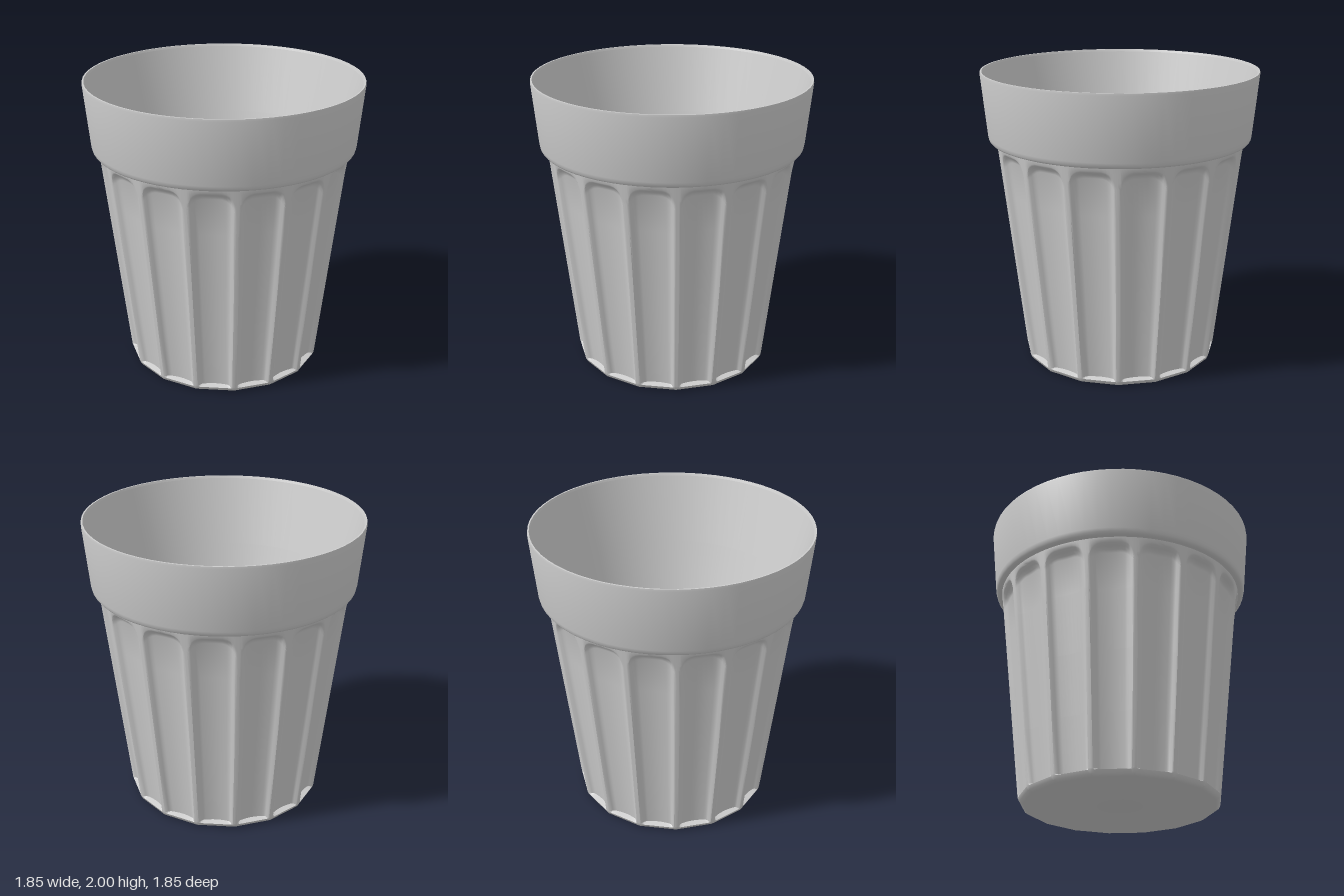
import * as THREE from 'three';
import { toCreasedNormals } from 'three/addons/utils/BufferGeometryUtils.js';

const FLUTES = 16;
const HALF = Math.PI / FLUTES; // half the angle of one flute
const CREASE = 0.6;

const bodyRadius = (y) => 0.665 + (y - 0.03) * 0.115;

// One vertical section of the fluted body, u = -1..1 across a flute: [radius, y] pairs
function section(u) {
  const polygon = Math.cos(HALF) / Math.cos(u * HALF);
  const w = 0.75 * HALF;
  const x = Math.abs(u) * w;
  const h = w - 0.022;
  // rounded rib shoulder plus a shallow hollow across the flute
  const depth = 0.024 * THREE.MathUtils.smoothstep(w - x, 0.012, 0.045)
    + 0.028 * Math.max(0, 1 - (x / h) ** 2);
  // rounded upper corners of the flute
  const c = 0.075;
  const a = THREE.MathUtils.clamp((x - (h - c)) / c, 0, 1);
  const top = 1.5 - c * (1 - Math.sqrt(1 - a * a));
  const hollow = (y, k) => [bodyRadius(y) - depth * k, y];
  return [
    [0, 0], [0.635 * polygon, 0], [0.655 * polygon, 0.012], [0.666 * polygon, 0.035],
    hollow(0.045, 1), hollow(0.4, 1), hollow(0.8, 1), hollow(1.2, 1),
    hollow(top - 0.05, 1), hollow(top - 0.03, 0.88), hollow(top - 0.014, 0.5),
    hollow(top, 0.12), hollow(top + 0.01, 0), hollow(1.535, 0),
  ];
}

function flutedBody() {
  const half = [0, 0.2, 0.4, 0.56, 0.68, 0.77, 0.84, 0.9, 0.95];
  const us = [-1, ...half.slice(1).reverse().map((u) => -u), ...half];
  const positions = [];
  const indices = [];
  const columns = FLUTES * us.length;
  let rows = 0;
  for (let f = 0; f < FLUTES; f++) {
    for (const u of us) {
      const angle = (2 * f + 1 + u) * HALF; // ribs fall on the x and z axes
      const points = section(u);
      rows = points.length;
      for (const [r, y] of points) positions.push(r * Math.sin(angle), y, r * Math.cos(angle));
    }
  }
  for (let i = 0; i < columns; i++) {
    const next = (i + 1) % columns;
    for (let j = 0; j < rows - 1; j++) {
      const a = i * rows + j;
      const b = next * rows + j;
      if (j > 0) indices.push(a, b, a + 1);
      indices.push(b, b + 1, a + 1);
    }
  }
  const geometry = new THREE.BufferGeometry();
  geometry.setAttribute('position', new THREE.Float32BufferAttribute(positions, 3));
  geometry.setIndex(indices);
  return toCreasedNormals(geometry, CREASE);
}

function lathe(profile) {
  const points = profile.map(([r, y]) => new THREE.Vector2(r, y));
  return toCreasedNormals(new THREE.LatheGeometry(points, 64), CREASE);
}

export function createModel() {
  const cup = new THREE.Group();
  cup.name = 'cup';
  const grey = new THREE.MeshStandardMaterial({ color: 0xcccccc });
  grey.name = 'light grey';

  const add = (name, geometry) => {
    const mesh = new THREE.Mesh(geometry, grey);
    mesh.name = name;
    cup.add(mesh);
  };

  add('flutedBody', flutedBody());

  // smooth band with a rounded lower edge and a thin lip
  add('rimBand', lathe([
    [0.82, 1.532], [0.855, 1.534], [0.87, 1.54], [0.879, 1.552], [0.884, 1.575],
    [0.924, 1.985], [0.922, 2], [0.912, 2], [0.906, 1.985],
  ]));

  // tapering inside wall and flat floor
  add('inside', lathe([
    [0.906, 1.985], [0.78, 1.53], [0.6, 0.88], [0.41, 0.19], [0.395, 0.155], [0.375, 0.135], [0, 0.135],
  ]));

  return cup;
}
